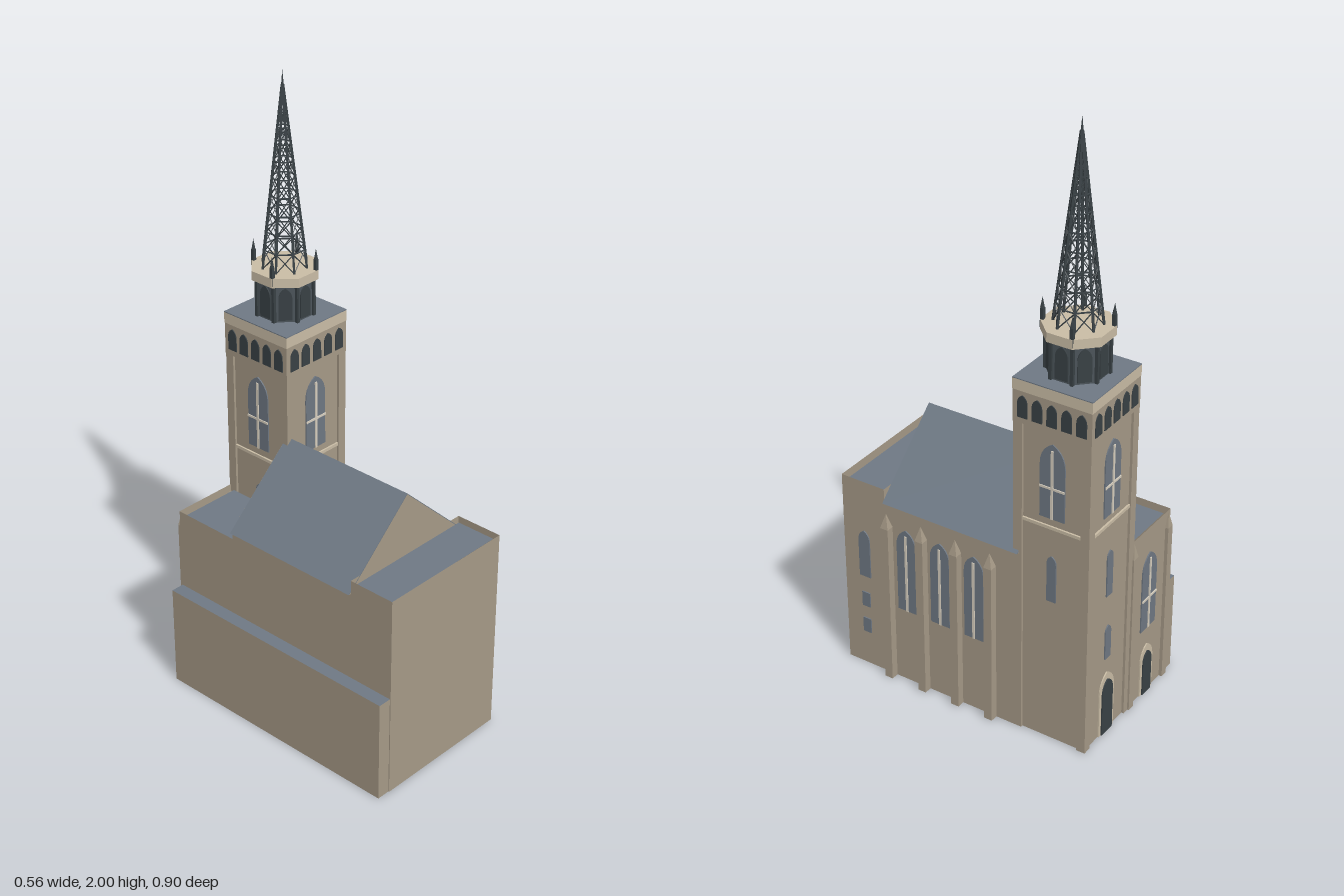
import * as THREE from 'three';
import { mergeGeometries } from 'three/addons/utils/BufferGeometryUtils.js';

const material = (name, color, side = THREE.FrontSide) => {
  const m = new THREE.MeshStandardMaterial({ color, side });
  m.name = name;
  return m;
};

export function createModel() {
  const stone = material('stone', 0xa69a87, THREE.DoubleSide);
  const paleStone = material('pale stone', 0xcabda6);
  const slate = material('slate', 0x6f7985, THREE.DoubleSide);
  const glass = material('glass', 0x6f7883);
  const iron = material('dark iron', 0x394145);
  const lead = material('lead', 0x4c555b);
  const tracery = material('tracery', 0xd8d0c0);

  const root = new THREE.Group();
  root.name = 'church';

  const add = (parent, name, geo, mat, x = 0, y = 0, z = 0) => {
    const m = new THREE.Mesh(geo, mat);
    m.name = name;
    m.position.set(x, y, z);
    parent.add(m);
    return m;
  };
  const group = (parent, name, x = 0, y = 0, z = 0, ry = 0) => {
    const g = new THREE.Group();
    g.name = name;
    g.position.set(x, y, z);
    g.rotation.y = ry;
    parent.add(g);
    return g;
  };
  // Box given by its limits
  const block = (parent, name, mat, x0, x1, y0, y1, z0, z1) =>
    add(parent, name, new THREE.BoxGeometry(x1 - x0, y1 - y0, z1 - z0), mat,
      (x0 + x1) / 2, (y0 + y1) / 2, (z0 + z1) / 2);
  // Four walls without floor or ceiling
  const walls = (parent, name, x0, x1, y0, y1, z0, z1) => {
    const m = block(parent, name, stone, x0, x1, y0, y1, z0, z1);
    const idx = Array.from(m.geometry.index.array);
    m.geometry.setIndex([...idx.slice(0, 12), ...idx.slice(24)]);
    m.geometry.clearGroups();
    return m;
  };
  const flatRoof = (name, x0, x1, y, z0, z1) => {
    const geo = new THREE.PlaneGeometry(x1 - x0, z1 - z0).rotateX(-Math.PI / 2);
    add(root, name, geo, slate, (x0 + x1) / 2, y, (z0 + z1) / 2);
  };
  // Thin plate with a pointed arch, standing on its base line
  const arch = (parent, name, mat, w, h, x, y, z, depth = 0.004) => {
    const s = new THREE.Shape();
    const spring = h - w * 0.85;
    s.moveTo(-w / 2, 0);
    s.lineTo(w / 2, 0);
    s.lineTo(w / 2, spring);
    s.quadraticCurveTo(w / 2, h - w * 0.25, 0, h);
    s.quadraticCurveTo(-w / 2, h - w * 0.25, -w / 2, spring);
    const geo = new THREE.ExtrudeGeometry(s, { depth, bevelEnabled: false, curveSegments: 5 });
    return add(parent, name, geo, mat, x, y, z);
  };
  const archWindow = (parent, w, h, x, y, z, cross) => {
    const g = group(parent, 'window', x, y, z);
    arch(g, 'windowGlass', glass, w, h, 0, 0, 0);
    block(g, 'mullion', tracery, -0.004, 0.004, 0, h - 0.02, 0.004, 0.007);
    if (cross) block(g, 'transom', tracery, -w / 2, w / 2, h * 0.4, h * 0.4 + 0.007, 0.004, 0.007);
  };
  const door = (parent, w, h, x, z) => {
    arch(parent, 'doorSurround', paleStone, w + 0.024, h + 0.025, x, 0, z, 0.004);
    arch(parent, 'door', iron, w, h, x, 0, z + 0.004);
  };
  // Shaft with a pyramid cap
  const buttress = (x, z, sx, sz) => {
    const g = group(root, 'buttress', x, 0, z);
    block(g, 'buttressShaft', stone, -sx / 2, sx / 2, 0, 0.565, -sz / 2, sz / 2);
    const cap = new THREE.ConeGeometry(Math.SQRT1_2, 0.05, 4).toNonIndexed().rotateY(Math.PI / 4);
    cap.scale(sx, 1, sz);
    cap.computeVertexNormals();
    add(g, 'buttressCap', cap, stone, 0, 0.59, 0);
  };

  // Lower masses
  walls(root, 'naveWalls', -0.235, 0.25, 0, 0.645, -0.2, 0.29);
  walls(root, 'choirWalls', -0.235, 0.25, 0, 0.69, 0.29, 0.45);
  flatRoof('choirRoof', -0.22, 0.24, 0.675, 0.3, 0.435);
  walls(root, 'porchWalls', -0.235, 0, 0, 0.62, -0.435, -0.2);
  flatRoof('porchRoof', -0.22, -0.012, 0.605, -0.42, -0.21);
  walls(root, 'aisleWalls', -0.28, -0.235, 0, 0.345, -0.435, 0.447);
  flatRoof('aisleRoof', -0.28, -0.235, 0.345, -0.435, 0.447);

  // Nave roof and gables
  const gable = new THREE.Shape([[-0.243, 0.645], [0.257, 0.645], [0.007, 0.876]]
    .map(p => new THREE.Vector2(...p)));
  const chevron = new THREE.Shape([[-0.245, 0.645], [-0.232, 0.645], [0.008, 0.866],
    [0.247, 0.645], [0.26, 0.645], [0.008, 0.878]].map(p => new THREE.Vector2(...p)));
  add(root, 'naveRoof', new THREE.ExtrudeGeometry(chevron, { depth: 0.49, bevelEnabled: false }),
    slate, 0, 0, -0.2);
  for (const z of [-0.201, 0.291]) add(root, 'gable', new THREE.ShapeGeometry(gable), stone, 0, 0, z);

  // Right flank: windows and buttresses
  const flank = group(root, 'rightFlank', 0.25, 0, 0, Math.PI / 2);
  for (const z of [0.21, 0.085, -0.04]) archWindow(flank, 0.07, 0.3, -z, 0.27, 0, false);
  arch(flank, 'choirLancet', glass, 0.042, 0.17, -0.372, 0.34, 0);
  for (const y of [0.225, 0.125]) block(flank, 'choirSlit', glass, -0.387, -0.357, y, y + 0.053, 0, 0.004);
  for (const z of [0.275, 0.146, 0.02, -0.105]) buttress(0.263, z, 0.026, 0.028);

  // Back of the porch
  for (const x of [-0.22, -0.015]) buttress(x, -0.438, 0.026, 0.016);
  const back = group(root, 'porchBack', -0.115, 0, -0.435, Math.PI);
  archWindow(back, 0.085, 0.28, 0, 0.25, 0, true);
  door(back, 0.05, 0.16, 0, 0);
  const gableBack = group(root, 'gableBack', -0.1, 0, -0.201, Math.PI);
  arch(gableBack, 'gableWindow', glass, 0.05, 0.105, 0, 0.64, 0);

  // Tower
  const tower = group(root, 'tower', 0.12, 0, -0.31);
  walls(tower, 'towerWalls', -0.122, 0.122, 0, 1.1, -0.122, 0.122);
  block(tower, 'arcadeBand', stone, -0.131, 0.131, 1.09, 1.195, -0.131, 0.131);
  block(tower, 'cornice', paleStone, -0.132, 0.132, 1.195, 1.23, -0.132, 0.132);
  block(tower, 'towerRoof', slate, -0.132, 0.132, 1.23, 1.233, -0.132, 0.132);
  for (let i = 0; i < 4; i++) {
    const side = group(tower, 'towerSide', 0, 0, 0, i * Math.PI / 2);
    block(side, 'cornerPilaster', stone, 0.1, 0.13, 0, 1.09, 0.1, 0.13);
    block(side, 'stringCourse', paleStone, -0.1, 0.1, 0.765, 0.775, 0.122, 0.128);
    archWindow(side, 0.085, 0.25, 0, 0.8, 0.122, true);
    arch(side, 'lancet', glass, 0.032, 0.16, 0, 0.51, 0.122);
    for (let k = -2; k <= 2; k++) arch(side, 'arcadeOpening', iron, 0.034, 0.072, k * 0.049, 1.11, 0.131, 0.003);
    if (i === 2) {
      arch(side, 'lowLancet', glass, 0.032, 0.12, 0, 0.28, 0.122);
      door(side, 0.06, 0.2, 0, 0.122);
    }
  }

  // Octagonal lantern and gallery
  const octagon = (apothem, h) =>
    new THREE.CylinderGeometry(1, 1, h, 8).rotateY(Math.PI / 8)
      .scale(apothem / Math.cos(Math.PI / 8), 1, apothem / Math.cos(Math.PI / 8)).toNonIndexed();
  const flat = geo => { geo.computeVertexNormals(); return geo; };
  add(tower, 'lantern', flat(octagon(0.083, 0.13)), lead, 0, 1.295, 0);
  add(tower, 'gallery', flat(octagon(0.1, 0.03)), paleStone, 0, 1.37, 0);
  for (let i = 0; i < 8; i++) {
    const face = group(tower, 'lanternSide', 0, 0, 0, i * Math.PI / 4);
    arch(face, 'lanternOpening', iron, 0.042, 0.105, 0, 1.24, 0.083);
    const a = Math.PI / 8 + i * Math.PI / 4;
    const px = Math.cos(a), pz = Math.sin(a);
    add(tower, 'lanternPost', new THREE.BoxGeometry(0.01, 0.125, 0.01), iron, px * 0.092, 1.293, pz * 0.092);
    if (i % 2 === 1) {
      add(tower, 'pinnacleShaft', new THREE.BoxGeometry(0.011, 0.06, 0.011), iron, px * 0.101, 1.39, pz * 0.101);
      add(tower, 'pinnacleTip', new THREE.ConeGeometry(0.008, 0.035, 4), iron, px * 0.101, 1.4375, pz * 0.101);
    }
  }

  // Openwork spire: ribs, rings and crossed bars
  const bars = [];
  const bar = (a, b, r) => {
    const d = b.clone().sub(a);
    const g = new THREE.CylinderGeometry(r, r, d.length(), 4, 1).toNonIndexed();
    g.computeVertexNormals();
    g.applyQuaternion(new THREE.Quaternion().setFromUnitVectors(new THREE.Vector3(0, 1, 0), d.normalize()));
    const mid = a.clone().add(b).multiplyScalar(0.5);
    bars.push(g.translate(mid.x, mid.y, mid.z));
  };
  const levels = 11;
  const node = (i, k) => {
    const t = 1 - Math.pow(1 - k / levels, 1.15);
    const a = Math.PI / 8 + i * Math.PI / 4, r = 0.07 * (1 - t) + 0.002;
    return new THREE.Vector3(Math.cos(a) * r, 1.385 + 0.57 * t, Math.sin(a) * r);
  };
  for (let i = 0; i < 8; i++) {
    bar(node(i, 0), node(i, levels), 0.0048);
    for (let k = 0; k < levels - 1; k++) {
      if (k > 0) bar(node(i, k), node(i + 1, k), 0.0026);
      bar(node(i, k), node(i + 1, k + 1), 0.0019);
      bar(node(i + 1, k), node(i, k + 1), 0.0019);
    }
  }
  add(tower, 'spireLattice', mergeGeometries(bars), iron);
  add(tower, 'finial', new THREE.ConeGeometry(0.009, 0.1, 8), iron, 0, 1.95, 0);

  return root;
}
